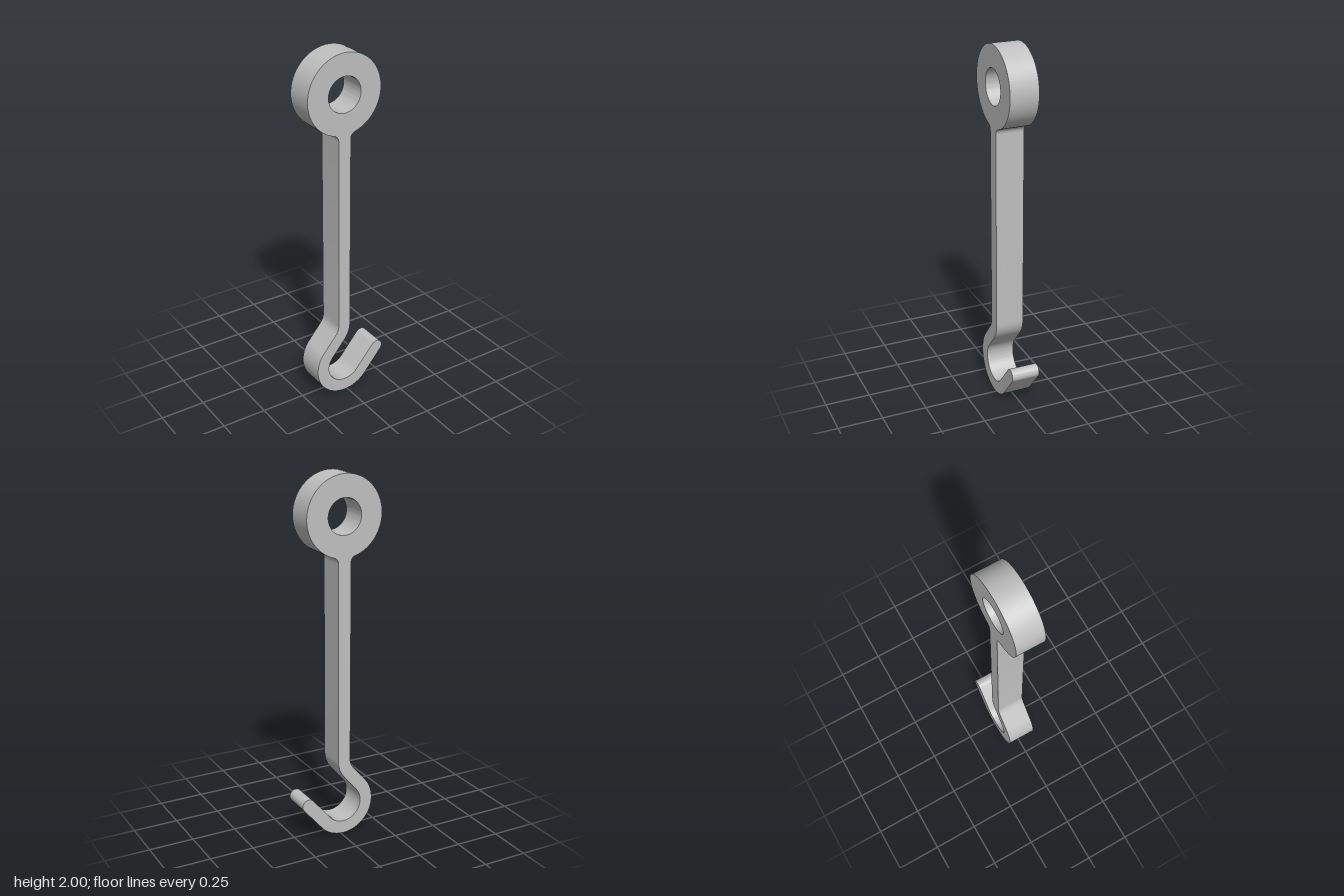
import * as THREE from 'three';
import { toCreasedNormals } from 'three/addons/utils/BufferGeometryUtils.js';

export function createModel() {
  const group = new THREE.Group();
  group.name = 'eyeHook';
  const steel = new THREE.MeshStandardMaterial({ color: 0xc0c0c0 });
  steel.name = 'steel grey';

  const rad = THREE.MathUtils.degToRad;
  const depth = 0.158;
  const w = 0.0365; // half width of the bar
  const cx = -0.02; // shank axis

  // Eye and the small fillets joining it to the shank
  const eyeY = 1.782, eyeR = 0.218, holeR = 0.097, filletR = 0.035;
  const filletX = w + filletR;
  const filletDrop = Math.sqrt((eyeR + filletR) ** 2 - filletX ** 2);
  const filletY = eyeY - filletDrop;
  const a = Math.atan2(filletDrop, filletX);

  // Hook bowl, with neck and arm leaving it as parallel tangents
  const bowl = { x: -0.016, y: 0.178, r: 0.142 };
  const lean = rad(50), from = rad(140), to = rad(320);
  const armLength = 0.165;
  const tipX = bowl.x + bowl.r * Math.cos(to) + armLength * Math.cos(lean);
  const tipY = bowl.y + bowl.r * Math.sin(to) + armLength * Math.sin(lean);

  // Bend between neck and shank
  const bendR = 0.12, bendX = cx - bendR;
  const cornerY = bowl.y + bowl.r * Math.sin(from)
    + (cx - bowl.x - bowl.r * Math.cos(from)) * Math.tan(lean);
  const bendY = cornerY + bendR * Math.tan(rad(20));

  // Outline, counter-clockwise; straight runs are added between arcs
  const outline = new THREE.Shape();
  outline.absarc(cx, eyeY, eyeR, -a, Math.PI + a, false);
  outline.absarc(cx - filletX, filletY, filletR, a, 0, true);
  outline.absarc(bendX, bendY, bendR - w, 0, rad(-40), true);
  outline.absarc(bowl.x, bowl.y, bowl.r + w, from, to, false);
  outline.absarc(tipX, tipY, w, rad(-40), from, false);
  outline.absarc(bowl.x, bowl.y, bowl.r - w, to, from, true);
  outline.absarc(bendX, bendY, bendR + w, rad(-40), 0, false);
  outline.absarc(cx + filletX, filletY, filletR, Math.PI, Math.PI - a, true);
  outline.closePath();

  const hole = new THREE.Path();
  hole.absarc(cx, eyeY, holeR, 0, Math.PI * 2, true);
  outline.holes.push(hole);

  const geometry = new THREE.ExtrudeGeometry(outline, {
    depth, bevelEnabled: false, curveSegments: 40,
  });
  geometry.translate(0, 0, -depth / 2);
  const hook = new THREE.Mesh(toCreasedNormals(geometry, rad(35)), steel);
  hook.name = 'hookWithEye';
  group.add(hook);
  return group;
}
